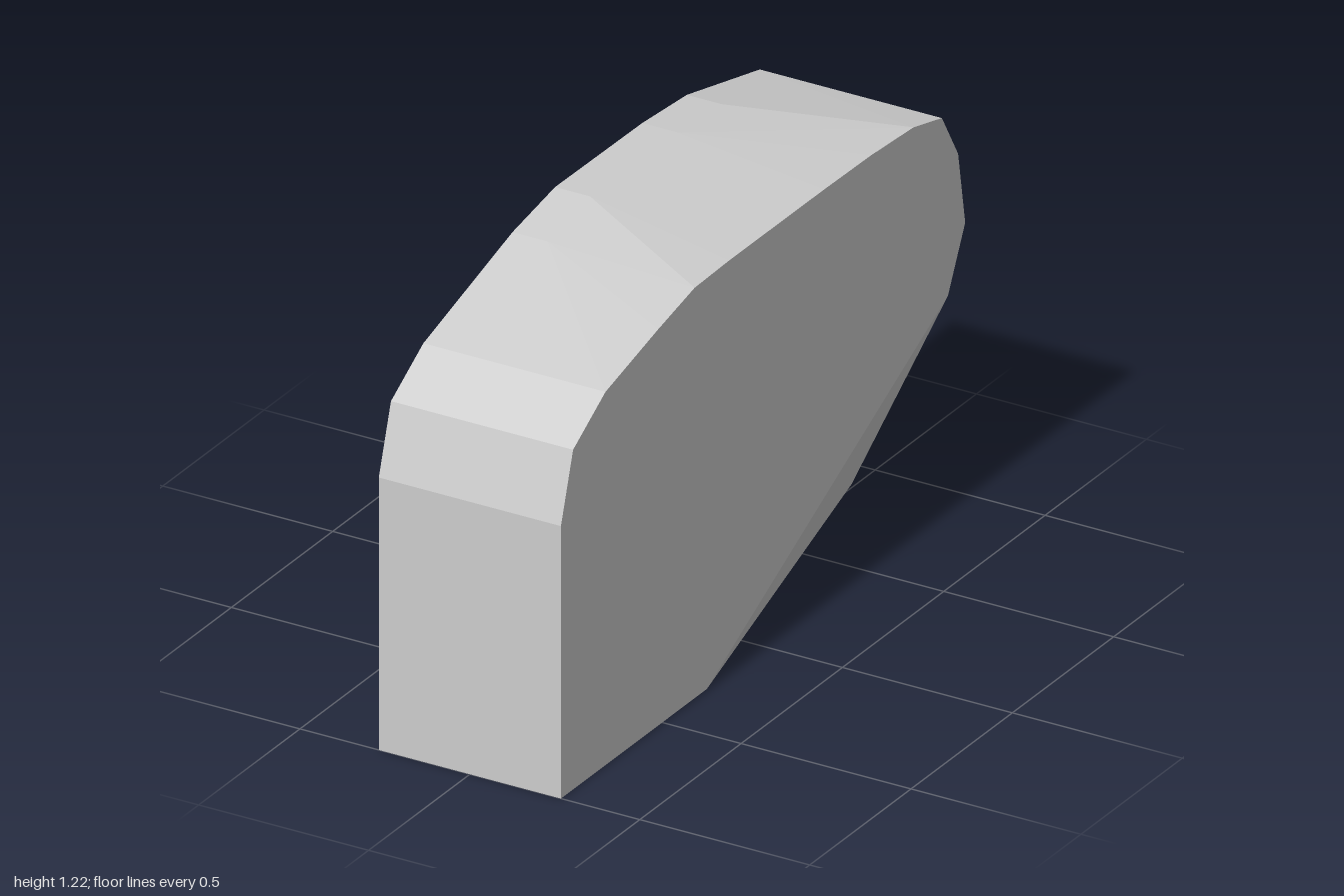
import * as THREE from 'three';
import { ConvexGeometry } from 'three/addons/geometries/ConvexGeometry.js';

export function createModel() {
  const group = new THREE.Group();
  group.name = 'facetedBlock';
  const grey = new THREE.MeshStandardMaterial({ color: 0xcccccc });
  grey.name = 'plain grey';

  const W = 0.268;
  const points = [];
  // Adds a run of [z, y] points at one x position
  const section = (x, run) => run.forEach(([z, y]) => points.push(new THREE.Vector3(x, y, z)));

  // Profile shared by both sides: front, shoulder and upper back
  const shared = [[1, 0], [1, 0.77], [0.94, 0.96], [0.78, 1.055], [-0.88, 1.115], [-0.96, 0.98]];
  section(-W, shared);
  section(W, shared);

  // High crown on the right side, flat for a short width
  const crown = [[0.34, 1.18], [0.13, 1.217], [-0.3, 1.213], [-0.52, 1.198]];
  section(-W, crown);
  section(-0.165, crown);

  // Lower crown on the left side
  section(W, [[0.52, 1.12], [0.34, 1.16], [0.17, 1.164], [-0.3, 1.163], [-0.53, 1.16], [-0.74, 1.149]]);

  // Back edge, and the slanted cut under the left back corner
  section(-W, [[-1, 0.77], [-0.98, 0]]);
  section(W, [[-0.995, 0.77], [-0.91, 0.6], [0.28, 0]]);
  section(-0.17, [[-0.978, 0]]);
  section(-0.01, [[-0.9, 0]]);

  const block = new THREE.Mesh(new ConvexGeometry(points), grey);
  block.name = 'block';
  group.add(block);
  return group;
}
